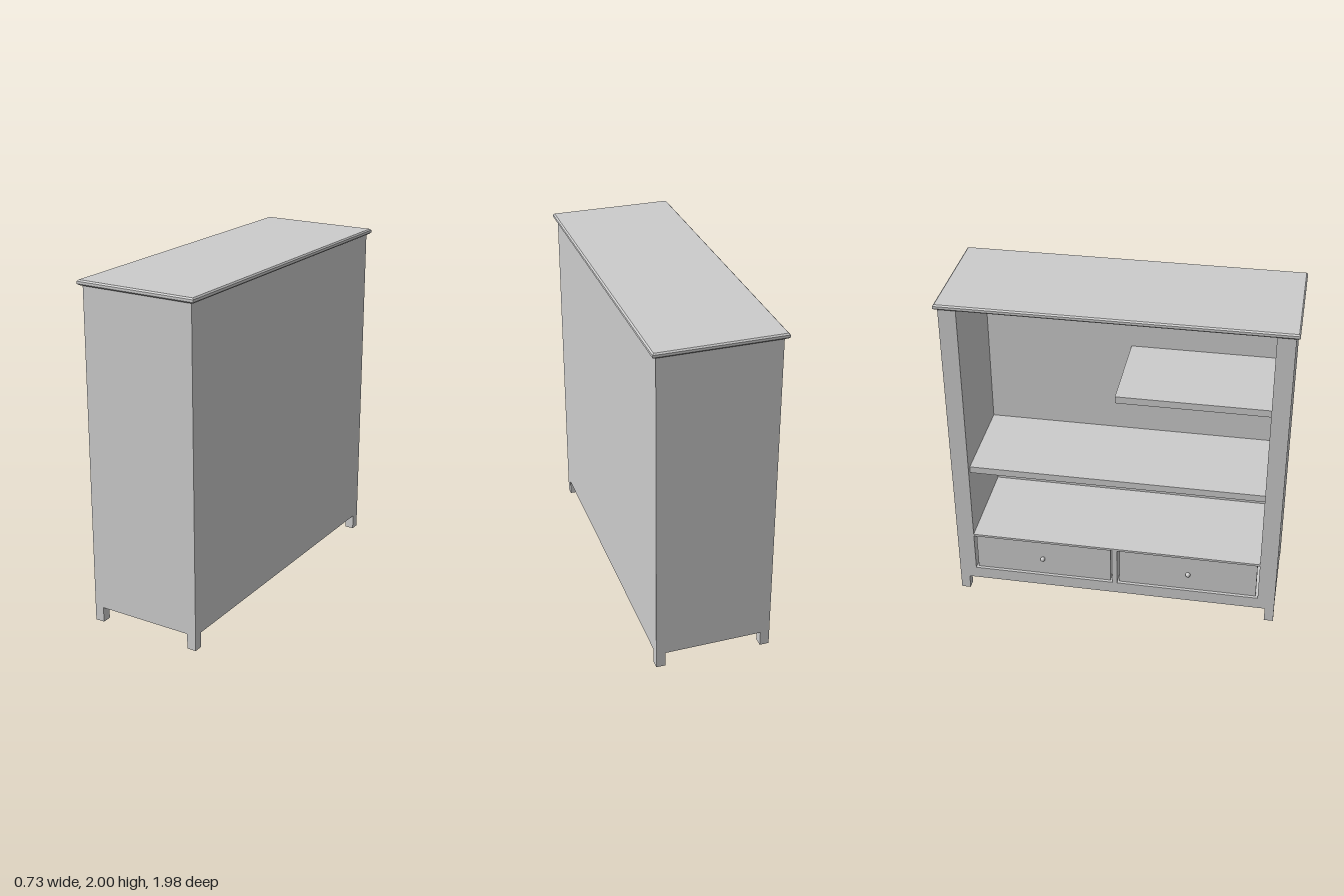
import * as THREE from 'three';

const material = new THREE.MeshStandardMaterial({ color: 0xcccccc });

// Outer cabinet: open side faces -x, long side runs along z
const X = 0.342, Z = 0.972, BASE = 0.09, TOP = 1.97;
const INNER_Z = 0.87, BACK_X = 0.26, DECK = 0.425, RAIL = 0.165;

export function createModel() {
  const group = new THREE.Group();
  const add = (name, geometry) => {
    const mesh = new THREE.Mesh(geometry, material);
    mesh.name = name;
    group.add(mesh);
    return mesh;
  };
  // Box given by its lower and upper limits on each axis
  const box = (name, x0, x1, y0, y1, z0, z1) => {
    const mesh = add(name, new THREE.BoxGeometry(x1 - x0, y1 - y0, z1 - z0));
    mesh.position.set((x0 + x1) / 2, (y0 + y1) / 2, (z0 + z1) / 2);
    return mesh;
  };

  // Carcass
  box('backPanel', BACK_X, X, BASE, TOP, -INNER_Z, INNER_Z);
  box('rightSide', -X, X, BASE, TOP, -Z, -INNER_Z);
  box('leftSide', -X, X, BASE, TOP, INNER_Z, Z);
  box('bottomRail', -X, BACK_X, BASE, RAIL, -INNER_Z, INNER_Z);
  box('drawerDivider', -X, BACK_X, RAIL, DECK - 0.014, -0.014, 0.014);
  box('drawerDeck', -X, BACK_X, DECK - 0.014, DECK, -INNER_Z, INNER_Z);

  // Shelves: one full width, one half width, set back from the opening
  box('middleShelf', -0.31, BACK_X, 0.863, 0.905, -INNER_Z, INNER_Z);
  box('upperHalfShelf', -0.31, BACK_X, 1.443, 1.485, 0, INNER_Z);

  // Top slab with a fine chamfer around its edge
  const b = 0.008, sx = 0.365 - b, sz = 0.992 - b;
  const outline = new THREE.Shape([
    new THREE.Vector2(-sx, -sz), new THREE.Vector2(sx, -sz),
    new THREE.Vector2(sx, sz), new THREE.Vector2(-sx, sz),
  ]);
  const slab = add('topSlab', new THREE.ExtrudeGeometry(outline, {
    depth: 2 - TOP - 2 * b, bevelSize: b, bevelThickness: b, bevelSegments: 1,
  }));
  slab.rotation.x = -Math.PI / 2;
  slab.position.y = TOP + b;

  for (const s of [-1, 1]) {
    // Feet
    for (const t of [-1, 1]) {
      const foot = box('foot', -0.0275, 0.0275, 0, BASE, -0.0275, 0.0275);
      foot.position.x = t * (X - 0.0275);
      foot.position.z = s * (Z - 0.0275);
    }

    // Inset drawer front with a round knob
    const drawer = box('drawerFront', -X + 0.012, -X + 0.05, RAIL + 0.006, DECK - 0.014, -0.414, 0.414);
    drawer.position.z = s * 0.442;
    const knob = add('drawerKnob', new THREE.SphereGeometry(0.015, 20, 14));
    knob.position.set(-X, 0.288, s * 0.445);
    const stem = add('knobStem', new THREE.CylinderGeometry(0.007, 0.007, 0.016, 16));
    stem.rotation.z = Math.PI / 2;
    stem.position.set(-X + 0.008, 0.288, s * 0.445);
  }
  return group;
}
